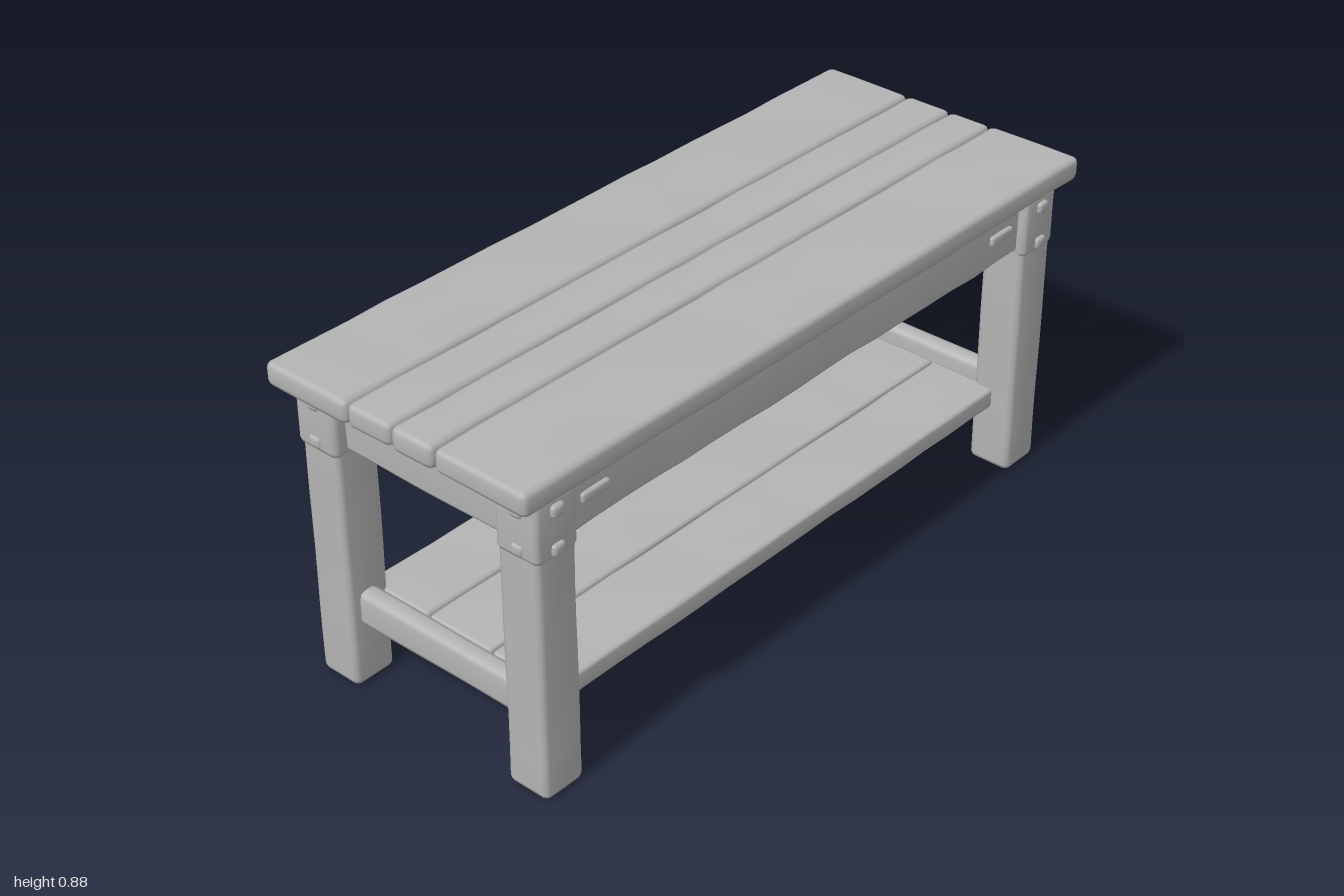
import * as THREE from 'three';
import { mergeVertices } from 'three/addons/utils/BufferGeometryUtils.js';

const wood = new THREE.MeshStandardMaterial({ color: 0xb4b4b4 });
wood.name = 'weathered wood';

// Smooth uneven wobble, different for every seed
const wobble = (x, y, z, s) =>
  (Math.sin(x * 13 + z * 9 + s * 1.7) + Math.sin(y * 15 - z * 17 + s * 2.9) + Math.sin(z * 31 + x * 7 + y * 6 + s * 4.1)) / 3;

// Row positions along one side: close to both ends, then evenly spaced
function rowAt(i, n, half, r) {
  if (i === 0) return -half;
  if (i === n) return half;
  return -half + r + ((i - 1) / (n - 2)) * 2 * (half - r);
}

// Worn beam: a box with rounded edges and slightly hewn faces
function beam(name, size, pos, r, amount, seed) {
  const half = size.map((s) => s / 2);
  const seg = size.map((s) => 3 + Math.min(16, Math.floor(s / 0.1)));
  const geo = new THREE.BoxGeometry(...size, ...seg);
  geo.deleteAttribute('normal');
  geo.deleteAttribute('uv');
  const p = geo.attributes.position;
  for (let i = 0; i < p.count; i++) {
    const v = [p.getX(i), p.getY(i), p.getZ(i)].map((c, a) =>
      rowAt(Math.round(((c + half[a]) / size[a]) * seg[a]), seg[a], half[a], r));
    const core = v.map((c, a) => THREE.MathUtils.clamp(c, -half[a] + r, half[a] - r));
    const out = new THREE.Vector3(...v.map((c, a) => c - core[a])).normalize();
    const depth = r - amount * (0.5 + 0.5 * wobble(...core, seed));
    p.setXYZ(i, ...core.map((c, a) => c + out.getComponent(a) * depth));
  }
  const smooth = mergeVertices(geo, 1e-5);
  smooth.computeVertexNormals();
  const mesh = new THREE.Mesh(smooth, wood);
  mesh.name = name;
  mesh.position.set(...pos);
  return mesh;
}

export function createModel() {
  const table = new THREE.Group();
  table.name = 'rusticTable';
  let seed = 1;
  const add = (name, size, pos, r = 0.015, amount = 0.005) =>
    table.add(beam(name, size, pos, r, amount, seed++));

  // Four top planks with narrow seams
  const seams = [-0.402, -0.138, 0, 0.128, 0.402];
  for (let i = 0; i < 4; i++) {
    const w = seams[i + 1] - seams[i];
    add('topPlank', [w, 0.066, 2], [seams[i] + w / 2, 0.847, 0], 0.017, 0.004);
  }

  for (const x of [-1, 1]) {
    for (const z of [-1, 1]) {
      // Leg with a slightly thicker joint at its top
      add('leg', [0.125, 0.82, 0.125], [x * 0.31, 0.41, z * 0.877], 0.017, 0.004);
      add('legJoint', [0.13, 0.165, 0.13], [x * 0.312, 0.73, z * 0.879], 0.016, 0.003);
      // Peg ends on the outer faces and by the joint on the apron
      for (const y of [0.675, 0.775]) {
        add('sidePeg', [0.03, 0.035, 0.04], [x * 0.372, y, z * 0.88], 0.01, 0.003);
        add('endPeg', [0.04, 0.035, 0.03], [x * 0.315, y, z * 0.935], 0.01, 0.003);
      }
      add('apronPeg', [0.02, 0.03, 0.09], [x * 0.352, 0.74, z * 0.74], 0.008, 0.002);
    }
    // Long side apron
    add('sideApron', [0.06, 0.165, 1.7], [x * 0.325, 0.742, 0], 0.014, 0.008);
    // Short end apron
    add('endApron', [0.54, 0.165, 0.06], [0, 0.74, x * 0.885], 0.014, 0.008);
  }

  // Low rails at the two ends, the back one deeper
  add('frontRail', [0.54, 0.098, 0.06], [0, 0.216, 0.88], 0.02, 0.004);
  add('backRail', [0.54, 0.138, 0.06], [0, 0.196, -0.88], 0.02, 0.004);

  // Three shelf planks between the legs
  for (let i = -1; i <= 1; i++) {
    add('shelfPlank', [0.206, 0.06, 1.67], [i * 0.207, 0.205, 0], 0.012, 0.004);
  }
  return table;
}
